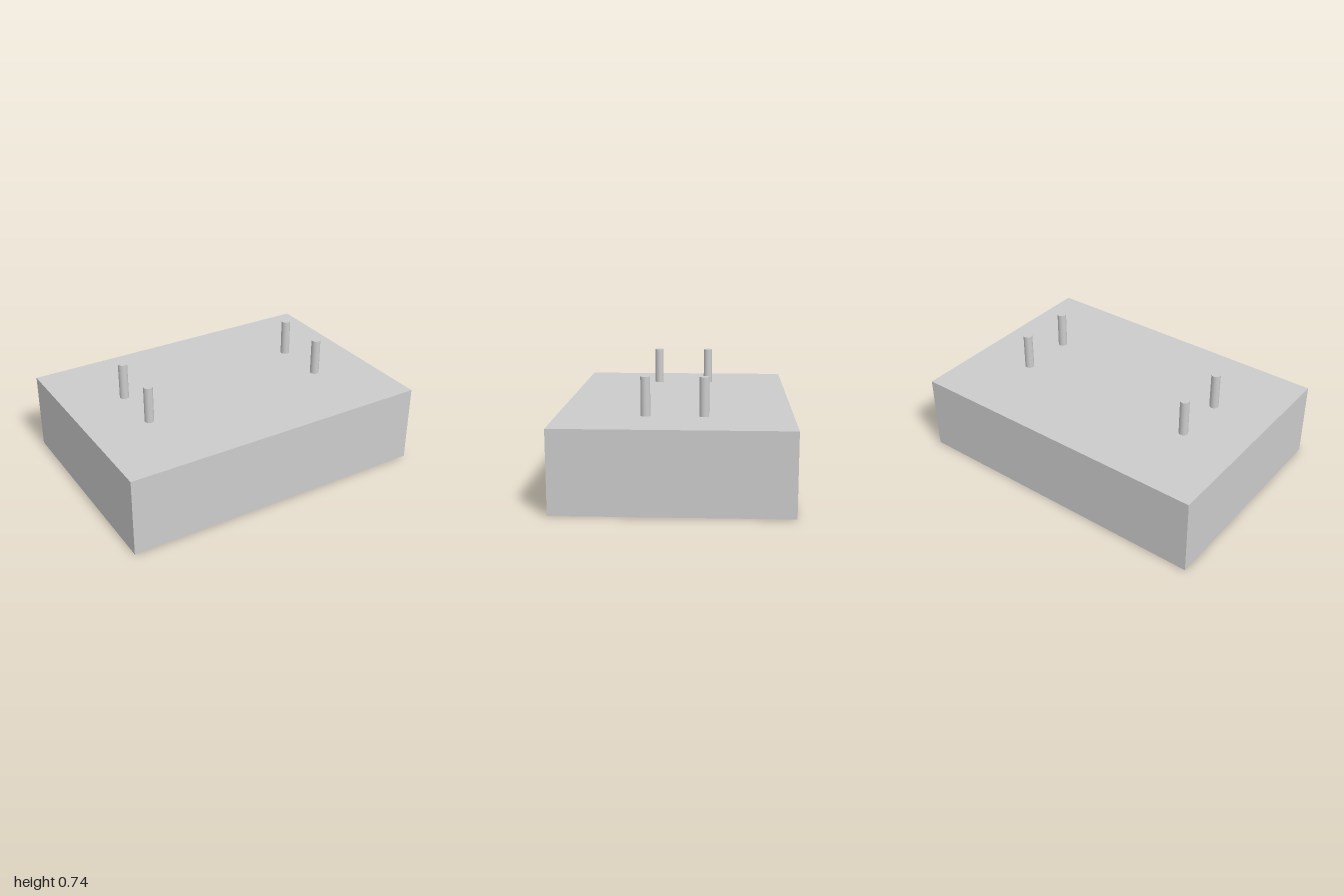
import * as THREE from 'three';

export function createModel() {
  const model = new THREE.Group();
  const material = new THREE.MeshStandardMaterial({ color: 0xcccccc });

  const add = (name, geometry, x, y, z) => {
    const mesh = new THREE.Mesh(geometry, material);
    mesh.name = name;
    mesh.position.set(x, y, z);
    model.add(mesh);
  };

  // Solid rectangular block
  const blockHeight = 0.5;
  add('block', new THREE.BoxGeometry(2, blockHeight, 1.4), 0, blockHeight / 2, 0);

  // Four round pegs standing on the block, mirrored in x and z
  const pegHeight = 0.235;
  const pegGeometry = new THREE.CylinderGeometry(0.029, 0.029, pegHeight, 32);
  for (const [side, sx] of [['Left', 1], ['Right', -1]]) {
    for (const [end, sz] of [['front', 1], ['back', -1]]) {
      add(`${end}${side}Peg`, pegGeometry, sx * 0.615, blockHeight + pegHeight / 2, sz * 0.173);
    }
  }

  return model;
}
